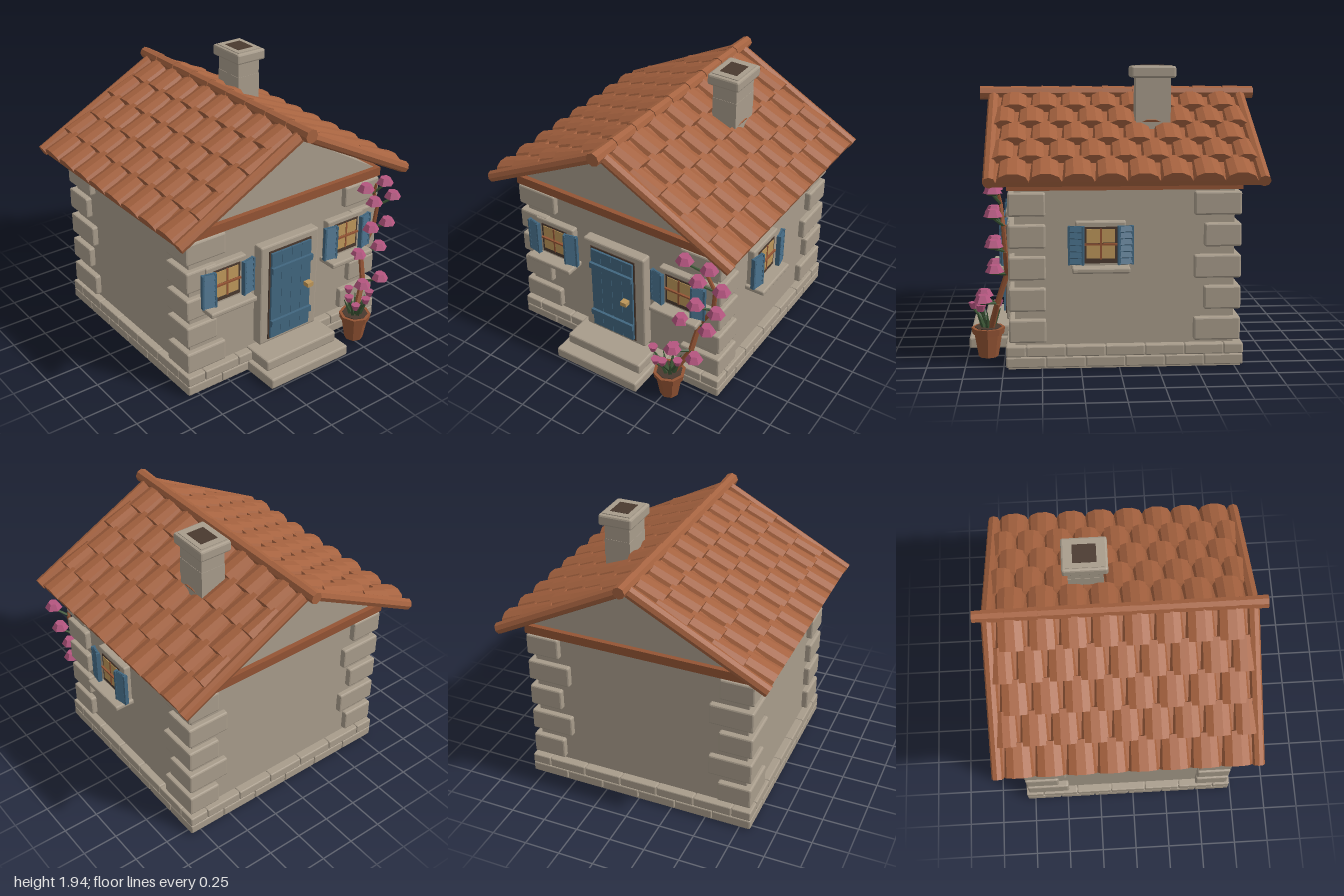
import * as THREE from 'three';
import { RoundedBoxGeometry } from 'three/addons/geometries/RoundedBoxGeometry.js';

const paint = (name, color) => Object.assign(new THREE.MeshStandardMaterial({ color }), { name });

export function createModel() {
  const stone = paint('stone', 0xa89c8b), tile = paint('terracotta', 0xa5623f);
  const wood = paint('wood', 0x945434), blue = paint('blue paint', 0x41667f);
  const dark = paint('dark brown', 0x4a392f), gold = paint('warm glass', 0xbd975a);
  const pink = paint('pink petals', 0xb4557f), green = paint('leaf green', 0x3a5434);
  const model = new THREE.Group();
  model.name = 'cottage';

  // Helpers: faceted mesh, sharp box, bevelled box, rod between two points
  const add = (parent, name, geo, mat, x = 0, y = 0, z = 0) => {
    const g = geo.index ? geo.toNonIndexed() : geo;
    g.computeVertexNormals();
    const m = new THREE.Mesh(g, mat);
    m.name = name;
    m.position.set(x, y, z);
    parent.add(m);
    return m;
  };
  const box = (p, name, mat, w, h, d, x, y, z) => add(p, name, new THREE.BoxGeometry(w, h, d), mat, x, y, z);
  const slab = (p, name, mat, w, h, d, x, y, z, r = 0.01) =>
    add(p, name, new RoundedBoxGeometry(w, h, d, 1, r), mat, x, y, z);
  const rod = (p, name, mat, a, b, r0, r1 = r0, sides = 6) => {
    const dir = b.clone().sub(a), mid = a.clone().add(b).multiplyScalar(0.5);
    const m = add(p, name, new THREE.CylinderGeometry(r1, r0, dir.length(), sides), mat, mid.x, mid.y, mid.z);
    m.quaternion.setFromUnitVectors(new THREE.Vector3(0, 1, 0), dir.normalize());
    return m;
  };
  const group = (name, parent = model) => {
    const g = new THREE.Group();
    g.name = name;
    parent.add(g);
    return g;
  };
  const V = (x, y, z) => new THREE.Vector3(x, y, z);

  // House body
  const house = group('house');
  house.position.z = -0.037;
  box(house, 'walls', stone, 1.55, 1.19, 1.42, 0, 0.605, 0);
  box(house, 'eavesBeam', wood, 1.64, 0.062, 1.51, 0, 1.195, 0);
  const tri = new THREE.Shape([new THREE.Vector2(-0.79, 1.222), new THREE.Vector2(0.79, 1.222), new THREE.Vector2(0, 1.685)]);
  add(house, 'gable', new THREE.ExtrudeGeometry(tri, { depth: 1.44, bevelEnabled: false }), stone, 0, 0, -0.72);

  // Brick plinth: two staggered courses round all four sides
  const plinth = group('plinth', house);
  box(plinth, 'plinthCore', stone, 1.63, 0.145, 1.51, 0, 0.0745, 0);
  for (const row of [0, 1]) {
    const y = 0.047 + row * 0.071;
    for (const [len, off, turn] of [[1.66, 0.77, 0], [1.66, 0.77, Math.PI], [1.54, 0.83, Math.PI / 2], [1.54, 0.83, -Math.PI / 2]]) {
      const side = group('plinthSide', plinth);
      side.rotation.y = turn;
      const n = 6, step = len / n;
      for (let i = 0; i <= n; i++) {
        const a = Math.max(-len / 2, -len / 2 + (i - row / 2) * step);
        const b = Math.min(len / 2, -len / 2 + (i + 1 - row / 2) * step);
        if (b - a < 0.02) continue;
        slab(side, 'brick', stone, b - a - 0.004, 0.069, 0.08, (a + b) / 2, y, off - 0.04, 0.008);
      }
    }
  }

  // Corner stones, alternating long and short
  for (const sx of [-1, 1]) for (const sz of [-1, 1]) for (let i = 0; i < 5; i++) {
    const long = i % 2 === 0;
    const w = long === (sz > 0) ? 0.31 : 0.24;
    const d = sz < 0 && long ? 0.305 : 0.24;
    slab(house, 'cornerStone', stone, w, 0.152, d, sx * (0.82 - w / 2), 0.25 + i * 0.206, sz * (0.75 - d / 2), 0.012);
  }

  // Roof: each half is built flat along its slope, then tilted
  const roof = group('roof');
  roof.position.z = -0.042;
  const slope = 0.485, course = 0.209;
  const barrel = (width) => new THREE.CylinderGeometry(width * 0.46, width / 2, 0.235, 5, 1, false, 0, Math.PI)
    .rotateZ(Math.PI / 2).scale(1, 0.062 / (width / 2), 1);
  for (const turn of [0, Math.PI]) {
    const turned = group('roofHalf', roof);
    turned.rotation.y = turn;
    const half = group('roofSlope', turned);
    half.position.y = 1.685;
    half.rotation.z = -slope;
    box(half, 'roofDeck', tile, 1.04, 0.04, 1.72, 0.52, 0.022, 0);
    for (const s of [-1, 1])
      rod(half, 'rakeTile', tile, V(-0.02, 0.04, s * 0.862), V(1.05, 0.04, s * 0.862), 0.041, 0.041, 8);
    for (let i = 0; i < 5; i++) {
      const edges = [];
      if (i % 2) {
        edges.push(-0.865);
        for (let k = -4; k < 4; k++) edges.push(k * 0.2 + 0.1);
        edges.push(0.865);
      } else for (let k = -4; k <= 4; k++) edges.push(k * 0.205);
      for (let k = 0; k + 1 < edges.length; k++) {
        const t = add(half, 'roofTile', barrel(edges[k + 1] - edges[k]), tile,
          course * (i + 1) - 0.1175, 0.032, (edges[k] + edges[k + 1]) / 2);
        t.rotation.z = 0.07;
      }
    }
  }
  for (let i = 0; i < 9; i++) {
    const z = -0.958 + i * 0.2129;
    rod(roof, 'ridgeTile', tile, V(0, 1.748, z), V(0, 1.748, z + 0.2129), 0.041, 0.048, 8);
  }

  // Chimney with hollow cap
  const chimney = group('chimney');
  chimney.position.set(0.316, 0, -0.255);
  for (let i = 0; i < 4; i++) {
    const k = (i % 2) * 0.004;
    box(chimney, 'chimneyBlock', stone, 0.184 - k, 0.125, 0.236 - k, 0, 1.443 + i * 0.125, 0);
  }
  slab(chimney, 'chimneyCap', stone, 0.24, 0.078, 0.3, 0, 1.899, 0, 0.014);
  box(chimney, 'chimneyRim', stone, 0.2, 0.01, 0.25, 0, 1.938, 0);
  box(chimney, 'flue', dark, 0.13, 0.006, 0.155, 0, 1.942, 0);

  // Door
  const door = group('door');
  door.position.z = 0.67;
  slab(door, 'doorSurround', stone, 0.495, 0.765, 0.1, 0, 0.567, 0.025, 0.012);
  box(door, 'doorRecess', dark, 0.36, 0.69, 0.02, -0.003, 0.56, 0.072);
  for (let i = 0; i < 4; i++) box(door, 'doorPlank', blue, 0.083, 0.665, 0.025, -0.1305 + i * 0.085, 0.56, 0.085);
  for (const y of [0.35, 0.765]) box(door, 'doorBrace', blue, 0.345, 0.045, 0.03, -0.003, y, 0.102);
  box(door, 'doorHandle', gold, 0.048, 0.032, 0.045, 0.125, 0.575, 0.13);

  // Front steps
  slab(model, 'lowerStep', stone, 0.675, 0.078, 0.36, 0, 0.046, 0.82, 0.012);
  slab(model, 'upperStep', stone, 0.61, 0.08, 0.27, 0, 0.123, 0.77, 0.012);

  // Windows, built facing the front with the wall at z = 0
  const addWindow = (name, x, y, z, turn) => {
    const w = group(name);
    w.position.set(x, y, z);
    w.rotation.y = turn;
    slab(w, 'windowSurround', stone, 0.325, 0.3, 0.08, 0, 0, 0.01, 0.01);
    box(w, 'windowFrame', dark, 0.215, 0.235, 0.02, 0, -0.002, 0.045);
    for (const sx of [-1, 1]) {
      for (const sy of [-1, 1]) box(w, 'pane', gold, 0.085, 0.088, 0.006, sx * 0.049, sy * 0.051 + 0.007, 0.056);
      const s = group('shutter', w);
      s.position.set(sx * 0.158, 0, 0.076);
      s.rotation.y = sx * 0.2;
      for (const e of [-1, 1]) box(s, 'shutterStile', blue, 0.014, 0.25, 0.03, e * 0.044, 0, 0);
      box(s, 'shutterPanel', blue, 0.09, 0.25, 0.012, 0, 0, -0.006);
      for (let i = 0; i < 6; i++)
        box(s, 'louvre', blue, 0.078, 0.036, 0.012, 0, -0.104 + i * 0.0416, 0.006).rotation.x = -0.4;
    }
    box(w, 'verticalBar', wood, 0.012, 0.2, 0.012, 0, 0.007, 0.056);
    box(w, 'crossBar', wood, 0.215, 0.012, 0.02, 0, 0.004, 0.06);
    slab(w, 'sill', stone, 0.37, 0.036, 0.15, 0, -0.152, 0.07, 0.01);
  };
  addWindow('leftFrontWindow', 0.515, 0.788, 0.673, 0);
  addWindow('rightFrontWindow', -0.515, 0.788, 0.673, 0);
  addWindow('sideWindow', 0.775, 0.815, 0.122, Math.PI / 2);

  // Flower pot
  const plant = group('pottedPlant');
  const px = 0.525, pz = 0.86;
  add(plant, 'pot', new THREE.CylinderGeometry(0.095, 0.066, 0.17, 8), wood, px, 0.095, pz);
  add(plant, 'potRim', new THREE.CylinderGeometry(0.113, 0.105, 0.045, 8), wood, px, 0.187, pz);
  add(plant, 'soil', new THREE.CylinderGeometry(0.09, 0.09, 0.006, 8), dark, px, 0.211, pz);

  // Climbing vine and its blossoms
  const vine = [[0.55, 0.2, 0.84], [0.65, 0.4, 0.79], [0.675, 0.6, 0.725], [0.78, 0.77, 0.73], [0.795, 0.94, 0.74],
    [0.735, 1.07, 0.755], [0.74, 1.14, 0.77]].map((p) => V(...p));
  for (let i = 0; i + 1 < vine.length; i++)
    rod(plant, 'vineStem', wood, vine[i], vine[i + 1], 0.022 - i * 0.002, 0.02 - i * 0.002);
  const blossoms = [[0.56, 0.45, 0.88], [0.73, 0.45, 0.88], [0.575, 0.655, 0.8], [0.775, 0.655, 0.8], [0.685, 0.83, 0.8],
    [0.84, 0.83, 0.8], [0.7, 1.03, 0.8], [0.875, 1.03, 0.8], [0.605, 1.165, 0.805], [0.785, 1.165, 0.805]];
  const roots = [1, 1, 2, 2, 3, 3, 4, 4, 5, 5];
  blossoms.forEach(([x, y, z], i) => {
    rod(plant, 'twig', green, vine[roots[i]], V(x, y - 0.03, z), 0.01, 0.008, 5);
    add(plant, 'calyx', new THREE.CylinderGeometry(0.058, 0.025, 0.016, 6), green, x, y - 0.026, z);
    add(plant, 'blossom', new THREE.CylinderGeometry(0.036, 0.062, 0.046, 6), pink, x, y + 0.004, z);
  });

  // Small flowers and leaves in the pot
  for (const [x, y, z] of [[0.42, 0.39, 0.9], [0.53, 0.36, 0.955], [0.46, 0.32, 0.93], [0.615, 0.36, 0.9], [0.52, 0.37, 0.79]]) {
    rod(plant, 'flowerStem', green, V(px, 0.2, pz), V(x, y - 0.02, z), 0.009, 0.007, 5);
    add(plant, 'smallFlower', new THREE.CylinderGeometry(0.034, 0.018, 0.042, 6), pink, x, y, z);
  }
  for (let i = 0; i < 7; i++) {
    const a = i * 0.9, c = Math.cos(a), s = Math.sin(a);
    rod(plant, 'leaf', green, V(px + c * 0.03, 0.2, pz + s * 0.03), V(px + c * 0.085, 0.33, pz + s * 0.085), 0.018, 0.002, 4);
  }
  return model;
}
